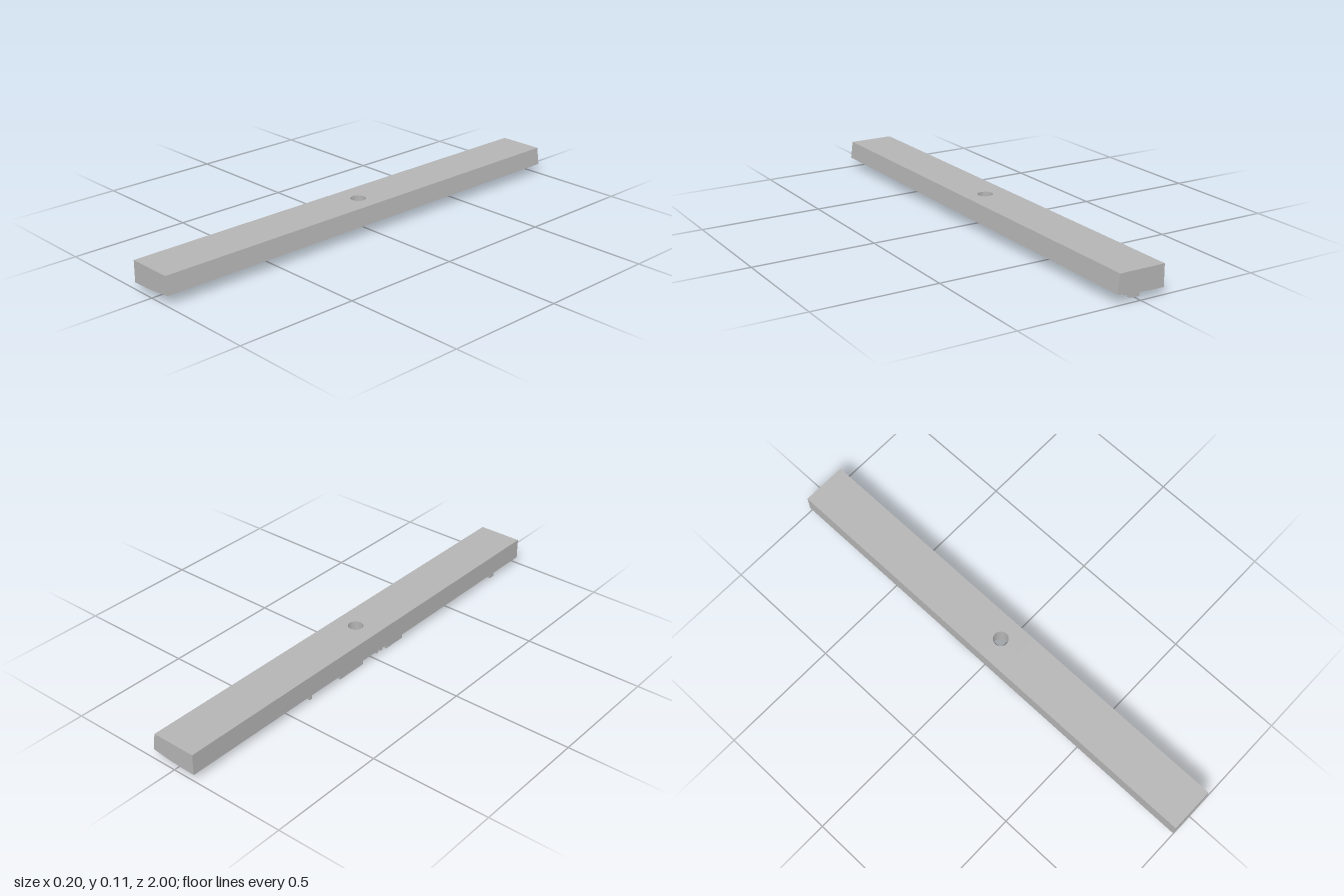
import * as THREE from 'three';
import { toCreasedNormals } from 'three/addons/utils/BufferGeometryUtils.js';

const TOP = 0.115, HALF = 0.1, TOP_EDGE = 0.09, HOLE = 0.031, RELIEF = 0.028;

// height of the gently curved underside at x
const underside = x => 0.028 + 0.014 * ((x + HALF) / (2 * HALF)) ** 2;

// solid length of bar, extruded from its cross-section
function barGeometry(z0, z1) {
  const shape = new THREE.Shape();
  shape.moveTo(-HALF, TOP);
  for (let i = 0; i <= 16; i++) {
    const x = -HALF + 2 * HALF * i / 16;
    shape.lineTo(x, underside(x));
  }
  shape.lineTo(TOP_EDGE, TOP);
  const geo = new THREE.ExtrudeGeometry(shape, { depth: z1 - z0, bevelEnabled: false });
  geo.translate(0, 0, z0);
  return toCreasedNormals(geo, 0.4);
}

// square middle block around the through hole, built from loops about the hole axis
function holeBlockGeometry() {
  const N = 48, RINGS = 5, pos = [], index = [];
  const loops = 4 + RINGS;
  for (let i = 0; i <= N; i++) {
    const a = i / N * Math.PI * 2, c = Math.cos(a), s = Math.sin(a);
    const reach = HALF / Math.max(Math.abs(c), Math.abs(s));
    const ox = c * reach, oz = s * reach, hx = c * HOLE, hz = s * HOLE;
    pos.push(hx, underside(hx), hz, hx, TOP, hz);
    pos.push(Math.min(ox, TOP_EDGE), TOP, oz);
    for (let k = 0; k <= RINGS; k++) {
      const x = THREE.MathUtils.lerp(ox, hx, k / RINGS);
      pos.push(x, underside(x), THREE.MathUtils.lerp(oz, hz, k / RINGS));
    }
  }
  for (let i = 0; i < N; i++) {
    for (let j = 0; j < loops - 1; j++) {
      const a = i * loops + j, b = a + loops;
      index.push(a, b, a + 1, b, b + 1, a + 1);
    }
  }
  const geo = new THREE.BufferGeometry();
  geo.setAttribute('position', new THREE.Float32BufferAttribute(pos, 3));
  geo.setIndex(index);
  return toCreasedNormals(geo, 0.4);
}

// raised rib that follows the underside curve
function ribGeometry(x0, x1, z0, z1) {
  const geo = new THREE.BoxGeometry(x1 - x0, 1, z1 - z0, 4, 1, 1);
  geo.translate((x0 + x1) / 2, 0, (z0 + z1) / 2);
  const p = geo.attributes.position;
  for (let i = 0; i < p.count; i++) {
    p.setY(i, underside(p.getX(i)) + (p.getY(i) > 0 ? 0.004 : -RELIEF));
  }
  return toCreasedNormals(geo, 0.4);
}

export function createModel() {
  const model = new THREE.Group();
  model.name = 'bar';
  const grey = new THREE.MeshStandardMaterial({ color: 0xb4b4b4 });
  grey.name = 'plain grey';
  const add = (name, geo, parent = model) => {
    const mesh = new THREE.Mesh(geo, grey);
    mesh.name = name;
    parent.add(mesh);
  };

  // bar body
  add('frontBar', barGeometry(HALF, 1));
  add('backBar', barGeometry(-1, -HALF));
  add('holeBlock', holeBlockGeometry());

  // relief ribs under the bar: x0, x1, z0, z1
  const ribs = new THREE.Group();
  ribs.name = 'undersideRibs';
  model.add(ribs);
  const plain = [
    [-0.088, -0.05, 0.81, 0.84],
    [-0.088, -0.068, 0.085, 0.19],
    [-0.088, -0.068, -0.2, -0.06],
    [-0.05, -0.03, -0.41, -0.34],
    [-0.088, -0.03, -0.38, -0.365],
  ];
  for (const r of plain) add('rib', ribGeometry(...r), ribs);

  // wide pairs of ribs with a short bridge
  for (const z of [0.607, 0.385, -0.642]) {
    add('outerRib', ribGeometry(0.018, 0.037, z - 0.053, z + 0.053), ribs);
    add('innerRib', ribGeometry(-0.065, -0.047, z - 0.053, z + 0.053), ribs);
    add('bridgeRib', ribGeometry(-0.05, 0.02, z - 0.053, z - 0.035), ribs);
  }

  // small twin prongs
  for (const [x, z] of [[-0.06, 0.05], [0.005, -0.953]]) {
    for (const side of [-1, 1]) {
      const c = z + side * 0.013;
      add('prong', ribGeometry(x - 0.022, x + 0.022, c - 0.006, c + 0.006), ribs);
    }
  }
  return model;
}
